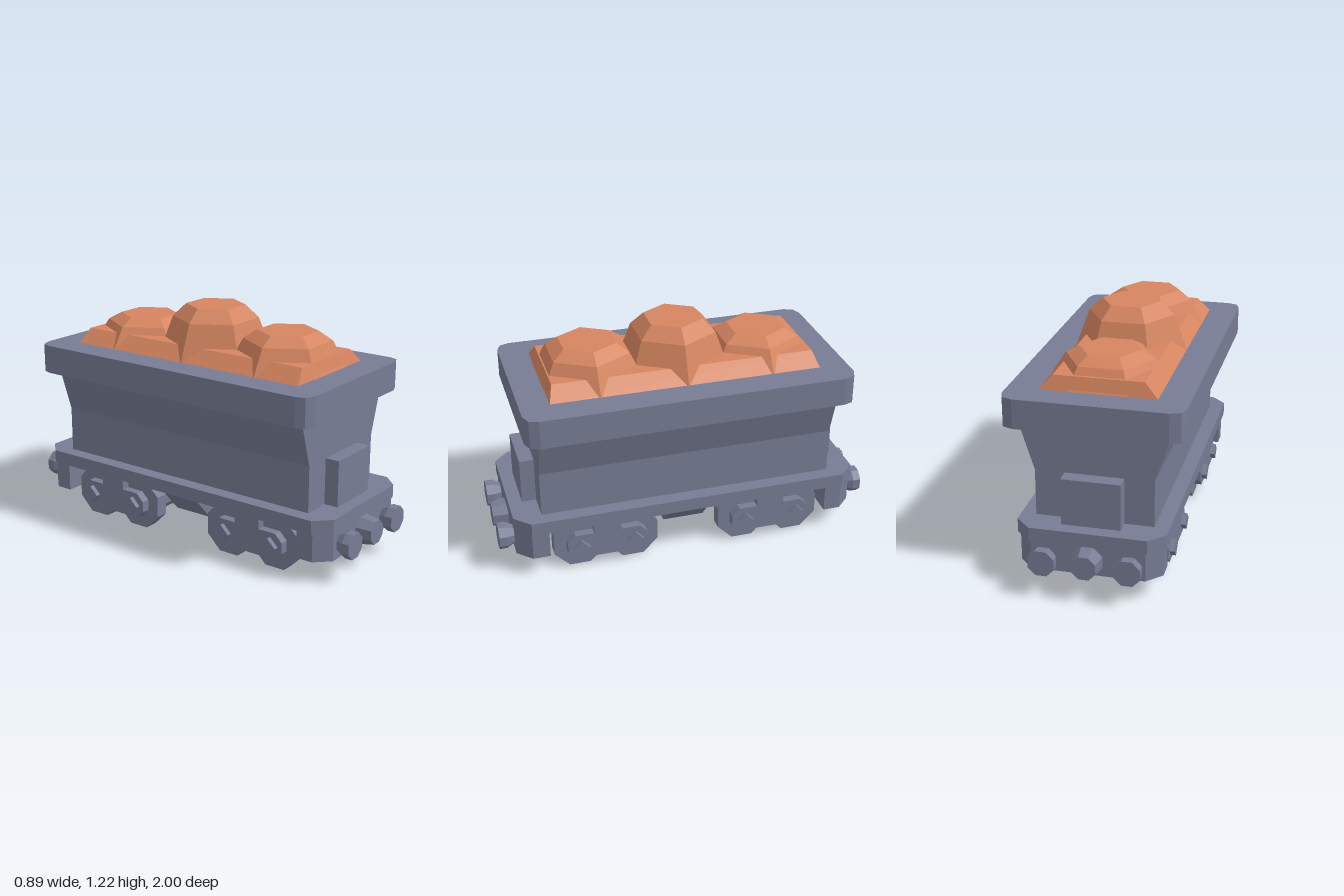
import * as THREE from 'three';

const steel = new THREE.MeshStandardMaterial({ color: 0x777c94 });
steel.name = 'slate steel';
const ore = new THREE.MeshStandardMaterial({ color: 0xd58560 });
ore.name = 'orange ore';

// Faceted mesh: every face gets its own normal
function add(parent, name, geometry, material = steel) {
  const flat = geometry.index ? geometry.toNonIndexed() : geometry;
  flat.computeVertexNormals();
  const mesh = new THREE.Mesh(flat, material);
  mesh.name = name;
  parent.add(mesh);
  return mesh;
}

function box(x0, x1, y0, y1, z0, z1) {
  return new THREE.BoxGeometry(x1 - x0, y1 - y0, z1 - z0)
    .translate((x0 + x1) / 2, (y0 + y1) / 2, (z0 + z1) / 2);
}

function extrude(points, depth) {
  const shape = new THREE.Shape(points.map(([x, y]) => new THREE.Vector2(x, y)));
  return new THREE.ExtrudeGeometry(shape, { depth, bevelEnabled: false });
}

// Plan outline (one corner, mirrored to four) raised from y0 to y1
function slab(corner, y0, y1) {
  const back = [...corner].reverse();
  const outline = [
    ...corner, ...back.map(([x, z]) => [-x, z]),
    ...corner.map(([x, z]) => [-x, -z]), ...back.map(([x, z]) => [x, -z]),
  ];
  return extrude(outline, y1 - y0).rotateX(-Math.PI / 2).translate(0, y0, 0);
}

// Long outline with half-octagon ends, extruded across x
function stadium(half, r, x0, x1) {
  const R = r / Math.cos(Math.PI / 8);
  const points = [];
  for (let i = 0; i < 8; i++) {
    const a = -3 * Math.PI / 8 + i * Math.PI / 4;
    points.push([R * Math.cos(a) + (i < 4 ? half : -half), R * Math.sin(a)]);
  }
  return extrude(points, x1 - x0).rotateY(-Math.PI / 2).translate(x1, 0, 0);
}

// Octagonal stud pointing along +z
function stud(r0, r1, z0, z1, x) {
  return new THREE.CylinderGeometry(r1, r0, z1 - z0, 8, 1, false, Math.PI / 8)
    .rotateX(Math.PI / 2).translate(x, 0.195, (z0 + z1) / 2);
}

function buildEnd() {
  const end = new THREE.Group();
  add(end, 'endBox', box(-0.147, 0.147, 0.335, 0.58, 0.77, 0.855));
  const beam = [[-0.355, -0.755], [0.355, -0.755], [0.355, -0.845],
    [0.283, -0.92], [-0.283, -0.92], [-0.355, -0.845]].reverse();
  add(end, 'bufferBeam', extrude(beam, 0.15).rotateX(-Math.PI / 2).translate(0, 0.12, 0));
  for (const x of [-0.21, 0.21]) {
    add(end, 'bufferStem', stud(0.046, 0.07, 0.915, 0.96, x));
    add(end, 'bufferHead', stud(0.07, 0.07, 0.96, 1, x));
  }
  add(end, 'coupling', stud(0.08, 0.064, 0.915, 1, 0));
  return end;
}

function buildBogie() {
  const bogie = new THREE.Group();
  const half = 0.143;
  add(bogie, 'axleHousing', stadium(half, 0.08, -0.23, 0.23)).position.y = 0.135;
  for (const side of [-1, 1]) {
    const x = (a, b) => (side > 0 ? [a, b] : [-b, -a]);
    add(bogie, 'sideFrame', stadium(half, 0.07, ...x(0.29, 0.34))).position.y = 0.135;
    add(bogie, 'frameHanger', box(...x(0.285, 0.34), 0.16, 0.28, -0.073, 0.073));
    for (const z of [-half, half]) {
      add(bogie, 'wheel', new THREE.CylinderGeometry(0.146, 0.146, 0.07, 8, 1, false, Math.PI / 8)
        .rotateZ(Math.PI / 2).translate(side * 0.26, 0.135, z));
      add(bogie, 'axleBolt', new THREE.CylinderGeometry(0.046, 0.046, 0.035, 4)
        .rotateZ(Math.PI / 2).translate(side * 0.348, 0.135, z));
    }
  }
  return bogie;
}

// Stepped six-sided lump of ore
function lump(height) {
  const profile = [[0.295, 0], [0.225, 0.74 * height], [0.155, height], [0, height]];
  return new THREE.LatheGeometry(profile.map(([r, y]) => new THREE.Vector2(r, y)), 6, Math.PI / 6);
}

export function createModel() {
  const wagon = new THREE.Group();
  wagon.name = 'oreWagon';

  // Hopper and rim
  const section = [[-0.295, 0.335], [0.295, 0.335], [0.295, 0.58],
    [0.37, 0.82], [-0.37, 0.82], [-0.295, 0.58]];
  add(wagon, 'hopper', extrude(section, 1.56).translate(0, 0, -0.78));
  add(wagon, 'rim', slab([[0.445, 0.785], [0.428, 0.834], [0.375, 0.855]], 0.815, 0.965));

  // Underframe
  add(wagon, 'chassis', slab([[0.37, 0.845], [0.29, 0.925]], 0.27, 0.34));
  const tank = [[-0.34, 0.275], [-0.2, 0.12], [0.2, 0.12], [0.34, 0.275]];
  add(wagon, 'underTank', extrude(tank, 0.22).translate(0, 0, -0.11));

  // Ends and bogies
  for (const dir of [1, -1]) {
    const end = buildEnd();
    end.name = dir > 0 ? 'frontEnd' : 'backEnd';
    end.rotation.y = dir > 0 ? 0 : Math.PI;
    wagon.add(end);
    const bogie = buildBogie();
    bogie.name = dir > 0 ? 'frontBogie' : 'backBogie';
    bogie.position.z = dir * 0.447;
    wagon.add(bogie);
  }

  // Ore load: bevelled bed with three lumps
  const bed = box(-0.295, 0.295, 0.96, 1.037, -0.705, 0.705);
  const p = bed.attributes.position;
  for (let i = 0; i < p.count; i++) {
    if (p.getY(i) > 1) p.setXYZ(i, p.getX(i) * 0.76, p.getY(i), p.getZ(i) * 0.965);
  }
  add(wagon, 'oreBed', bed, ore);
  [[0.45, 0.18], [0, 0.255], [-0.45, 0.147]].forEach(([z, h]) => {
    add(wagon, 'oreLump', lump(h), ore).position.set(0, 0.965, z);
  });
  return wagon;
}
